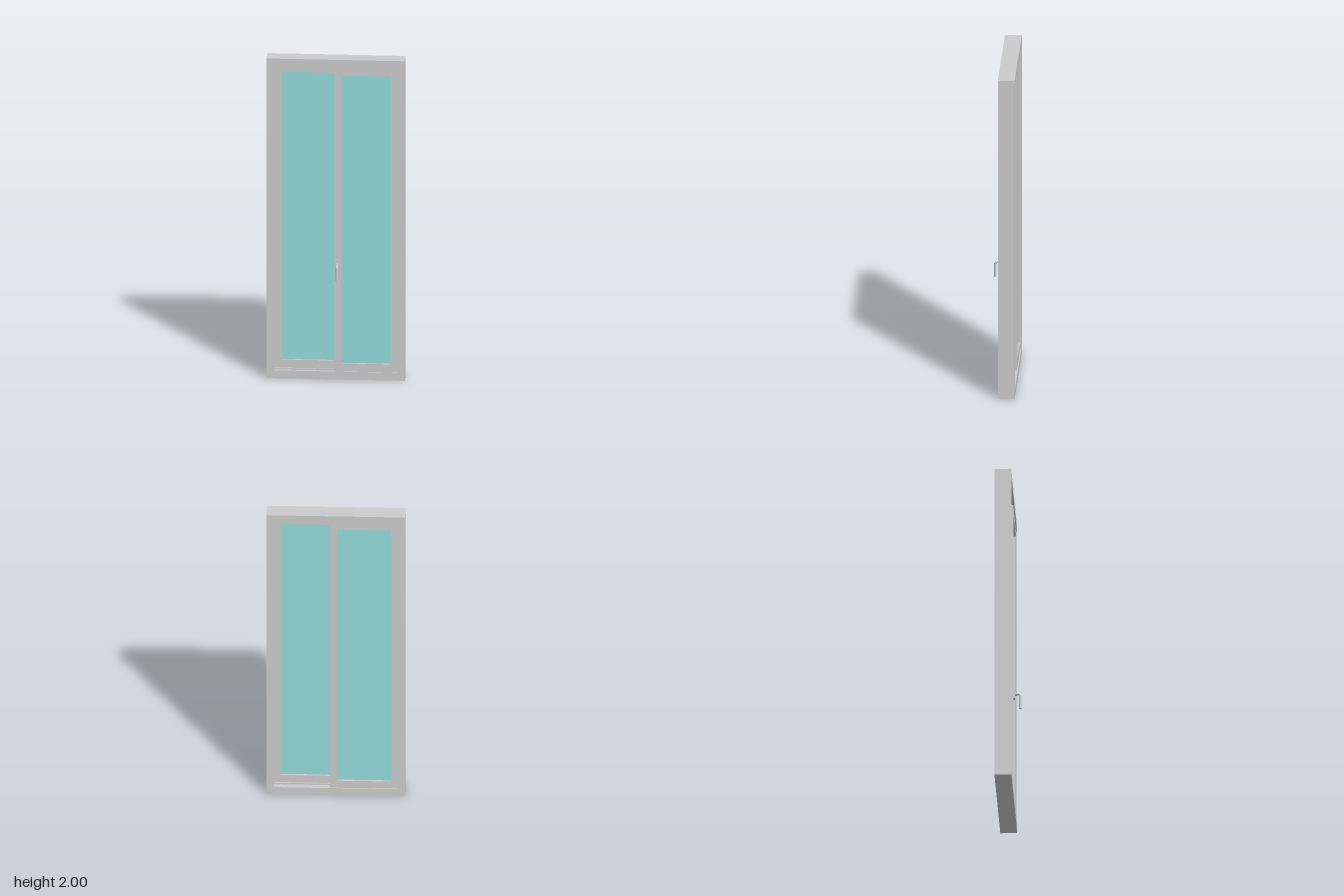
import * as THREE from 'three';

const grey = new THREE.MeshStandardMaterial({ color: 0xcccccc, flatShading: true });
const smoothGrey = new THREE.MeshStandardMaterial({ color: 0xcccccc });
const glassMat = new THREE.MeshStandardMaterial({ color: 0x93dada });

function add(parent, name, geometry, material, x = 0, y = 0, z = 0) {
  const mesh = new THREE.Mesh(geometry, material);
  mesh.name = name;
  mesh.position.set(x, y, z);
  parent.add(mesh);
  return mesh;
}

// Mitred rectangular frame: a closed [inset, z] profile swept round four corners
function mitredFrame(w, h, profile, yScale) {
  const corners = [[-1, -1], [1, -1], [1, 1], [-1, 1]];
  const point = (k, i) => {
    const [sx, sy] = corners[k % 4];
    const [inset, z] = profile[i % profile.length];
    return [sx * (w / 2 - inset), sy * (h / 2 - inset * yScale), z];
  };
  const pos = [];
  for (let k = 0; k < 4; k++) {
    for (let i = 0; i < profile.length; i++) {
      const a = point(k, i), b = point(k, i + 1), c = point(k + 1, i + 1), d = point(k + 1, i);
      pos.push(...a, ...b, ...c, ...a, ...c, ...d);
    }
  }
  const g = new THREE.BufferGeometry();
  g.setAttribute('position', new THREE.Float32BufferAttribute(pos, 3));
  g.computeVertexNormals();
  return g;
}

// One sliding sash with its pane
function sash(name, x0, x1, z) {
  const group = new THREE.Group();
  group.name = name;
  const w = x1 - x0, h = 1.906, t = 0.0195, inset = 0.042, yScale = 1.25;
  const profile = [[0, t], [0, -t], [inset, -t], [inset, t]];
  add(group, 'sashFrame', mitredFrame(w, h, profile, yScale), grey);
  add(group, 'glassPane',
    new THREE.BoxGeometry(w - 2 * inset + 0.01, h - 2 * inset * yScale + 0.01, 0.014), glassMat);
  group.position.set((x0 + x1) / 2, 1, z);
  return group;
}

// Lever handle: back plate, bent round bar, rounded tip
function handle() {
  const group = new THREE.Group();
  group.name = 'handle';
  add(group, 'handlePlate', new THREE.BoxGeometry(0.026, 0.062, 0.009), grey, 0, 0, 0.0045);
  add(group, 'handleCollar', new THREE.CylinderGeometry(0.01, 0.011, 0.012, 16), smoothGrey, 0, 0, 0.014)
    .rotation.x = Math.PI / 2;
  const r = 0.0075, zGrip = 0.041, bend = 0.014;
  const path = new THREE.CurvePath();
  const v = (y, z) => new THREE.Vector3(0, y, z);
  path.add(new THREE.LineCurve3(v(0, 0.005), v(0, zGrip - bend)));
  path.add(new THREE.QuadraticBezierCurve3(v(0, zGrip - bend), v(0, zGrip), v(-bend, zGrip)));
  path.add(new THREE.LineCurve3(v(-bend, zGrip), v(-0.092, zGrip)));
  add(group, 'handleLever', new THREE.TubeGeometry(path, 40, r, 14), smoothGrey);
  add(group, 'handleTip', new THREE.SphereGeometry(r, 14, 10), smoothGrey, 0, -0.092, zGrip)
    .scale.y = 0.5;
  return group;
}

export function createModel() {
  const model = new THREE.Group();
  model.name = 'slidingWindow';

  // Outer frame with two running grooves on its inner side
  const lip = 0.045, groove = 0.036;
  const profile = [
    [0, 0.027], [0, -0.073], [lip, -0.073], [lip, -0.068], [groove, -0.068], [groove, -0.027],
    [lip, -0.027], [lip, -0.019], [groove, -0.019], [groove, 0.022], [lip, 0.022], [lip, 0.027],
  ];
  add(model, 'outerFrame', mitredFrame(0.822, 2, profile, 1.1), grey, 0, 1, 0);

  // Front and back sashes overlap at the middle
  model.add(sash('frontSash', -0.006, 0.372, 0.002));
  model.add(sash('backSash', -0.369, 0.034, -0.0475));

  const lever = handle();
  lever.position.set(0.01, 0.72, 0.0215);
  model.add(lever);
  return model;
}
